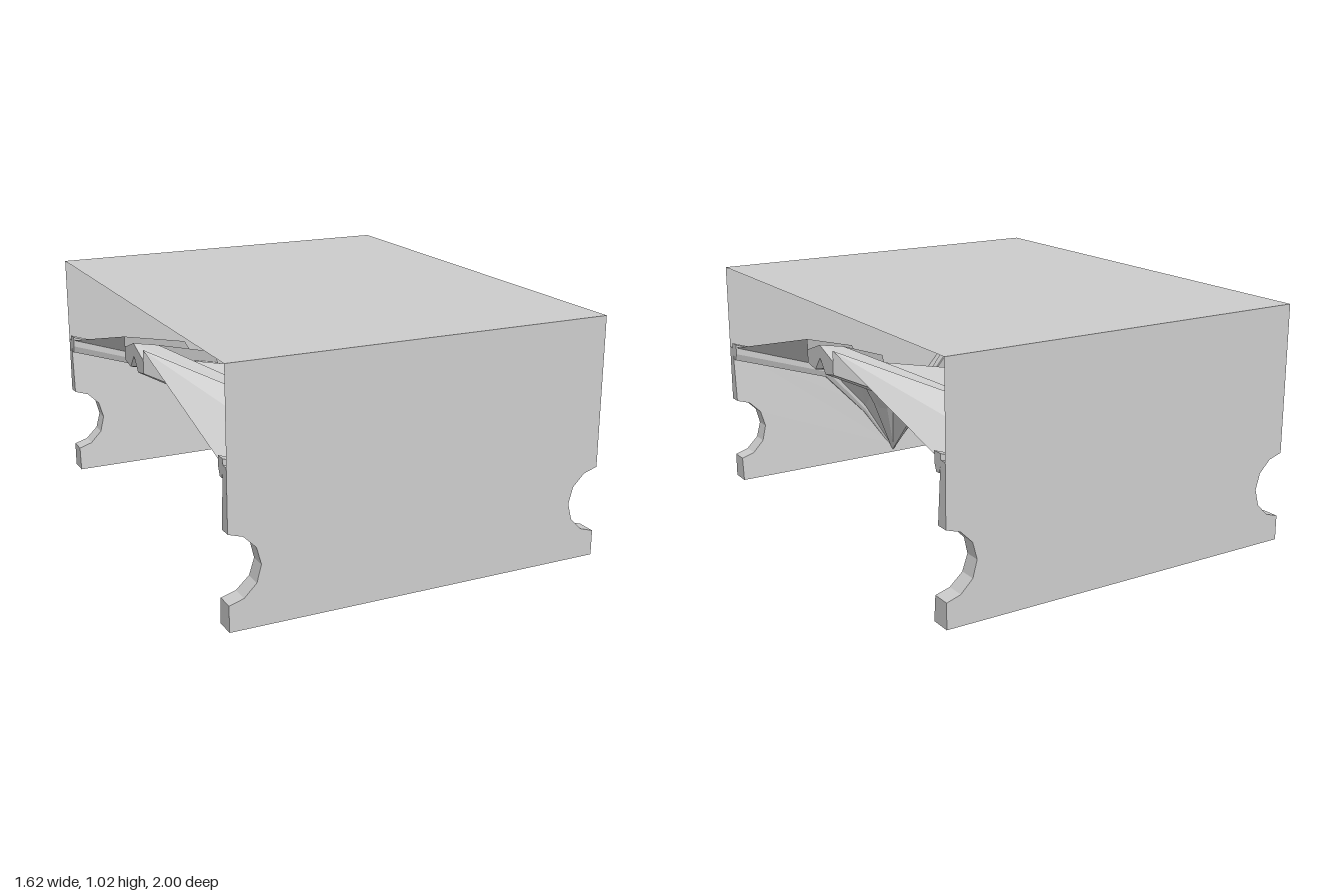
import * as THREE from 'three';

const material = new THREE.MeshStandardMaterial({ color: 0xcccccc, flatShading: true, side: THREE.DoubleSide });
const HX = 0.81, TOP = 1.02, SPRING = 0.91;

// Skin a grid of points (rows of equal length) with flat facets.
function loft(rows, closed = false) {
  const pos = [];
  for (let i = 0; i < rows.length - 1; i++) {
    const n = rows[i].length;
    for (let j = 0; j < (closed ? n : n - 1); j++) {
      const k = (j + 1) % n;
      const a = rows[i][j], b = rows[i][k], c = rows[i + 1][k], d = rows[i + 1][j];
      pos.push(...a, ...b, ...c, ...a, ...c, ...d);
    }
  }
  const g = new THREE.BufferGeometry();
  g.setAttribute('position', new THREE.Float32BufferAttribute(pos, 3));
  g.computeVertexNormals();
  return g;
}

function part(name, geometry) {
  const m = new THREE.Mesh(geometry, material);
  m.name = name;
  return m;
}

// Rib curves from the springing point, with a taper for each station.
const taper = [0.1, 0.6, 0.9, 1];
const wallArch = [[0, 0.02], [0.15, 0.25], [0.35, 0.47], [HX, 0.62]]; // x, y
const diagonal = [[SPRING, 0.02], [0.77, 0.31], [0.56, 0.58], [0, 0.8]]; // z, y
const transverse = [[SPRING, 0.02], [0.6, 0.37], [0.34, 0.53], [0, 0.645]]; // z, y

// Point beside the diagonal rib; the last station is mitred to the open end.
function besideDiagonal(i, offset, lift) {
  const [z, y] = diagonal[i], o = offset * taper[i], h = lift * taper[i];
  if (i === 3) return o > 0 ? [HX, y + h - 0.56 * o, 1.5 * o] : [HX + 1.34 * o, y + h + 0.25 * o, 0];
  const x = HX * (1 - z / SPRING);
  return [x + 0.747 * o, y + h, Math.min(z + 0.665 * o, 0.93)];
}

// Moulded rib section: offset across, height above the shoulder.
const section = [[1, 0.055], [1, 0], [0.4, -0.04], [-0.4, -0.04], [-1, 0], [-1, 0.055], [0, 0.055]];

function vaultQuarter() {
  const g = new THREE.Group();
  g.name = 'vaultQuarter';

  const rib = diagonal.map((_, i) => section.map(([u, v]) => besideDiagonal(i, 0.08 * u, v)));
  rib.push(section.map(() => [HX, 0.8, 0])); // end cap
  g.add(part('diagonalRib', loft(rib, true)));

  const wallRib = wallArch.map(([x, y], i) => section.map(([u, v]) => {
    const t = taper[i];
    return [x, y + v * t * 0.8, SPRING + 0.05 * y + 0.022 * u * t + 0.005];
  }));
  wallRib.push(section.map(() => [HX, 0.62, 0.945]));
  g.add(part('wallRib', loft(wallRib, true)));

  // Web between wall rib and diagonal rib, with an upright edge beside the rib
  g.add(part('outerWeb', loft(wallArch.map(([x, y], i) => [
    [x, y + 0.03 * taper[i], SPRING + 0.022 * y],
    besideDiagonal(i, 0.08, 0.1),
    besideDiagonal(i, 0.08, 0),
  ]))));

  // Web between transverse rib and diagonal rib
  g.add(part('innerWeb', loft(transverse.map(([z, y], i) => [
    [0.06 * taper[i], y, z],
    besideDiagonal(i, -0.08, 0),
  ]))));
  return g;
}

// Right-hand wall edge: scalloped notch, listed from bottom to top.
function notch() {
  const pts = [];
  for (let k = 0; k <= 6; k++) {
    const a = -Math.PI / 2 - k * Math.PI / 6;
    const x = k % 6 ? 0.82 + 0.14 * Math.cos(a) : HX;
    pts.push([x, 0.247 + 0.14 * Math.sin(a)]);
  }
  return pts;
}

function toShape(half) {
  // Mirror a right-hand outline across x = 0.
  const left = half.filter(([x]) => x > 0).reverse().map(([x, y]) => [-x, y]);
  return new THREE.Shape([...half, ...left].map(([x, y]) => new THREE.Vector2(x, y)));
}

function wall() {
  const g = new THREE.Group();
  g.name = 'wall';
  const arch = wallArch.map(([x, y]) => [x, y + 0.02]);

  // Thick lower wall, inner face leaning back with height
  const lower = new THREE.Shape();
  const right = [[HX, 0], ...notch(), ...[...arch].reverse()];
  const left = right.slice(0, -1).reverse().map(([x, y]) => [-x, y]);
  lower.setFromPoints([...right, ...left].map(([x, y]) => new THREE.Vector2(x, y)));
  const geo = new THREE.ExtrudeGeometry(lower, { depth: 1, bevelEnabled: false });
  const p = geo.attributes.position;
  for (let i = 0; i < p.count; i++) p.setZ(i, p.getZ(i) > 0.5 ? 1 : SPRING + 0.09 * p.getY(i));
  geo.computeVertexNormals();
  g.add(part('lowerWall', geo));

  // Thin facing above the arch
  const upper = new THREE.ShapeGeometry(toShape([...arch, [HX, TOP]]));
  upper.translate(0, 0, 1);
  g.add(part('upperWall', upper));
  return g;
}

export function createModel() {
  const model = new THREE.Group();
  model.name = 'vaultedBay';

  const roof = new THREE.PlaneGeometry(2 * HX, 2);
  roof.rotateX(-Math.PI / 2).translate(0, TOP, 0);
  model.add(part('roof', roof));

  for (const sz of [1, -1]) {
    const half = new THREE.Group();
    half.name = sz > 0 ? 'frontHalf' : 'backHalf';
    half.scale.z = sz;
    half.add(wall());
    half.add(part('transverseRib', loft(transverse.map(([z, y], i) => section.map(([u, v]) =>
      [0.06 * u * taper[i], y + v * 1.5 * taper[i] * (v > 0 ? 0.3 : 1), z])), true)));
    for (const sx of [1, -1]) {
      const quarter = vaultQuarter();
      quarter.scale.x = sx;
      half.add(quarter);
    }
    model.add(half);
  }
  return model;
}
